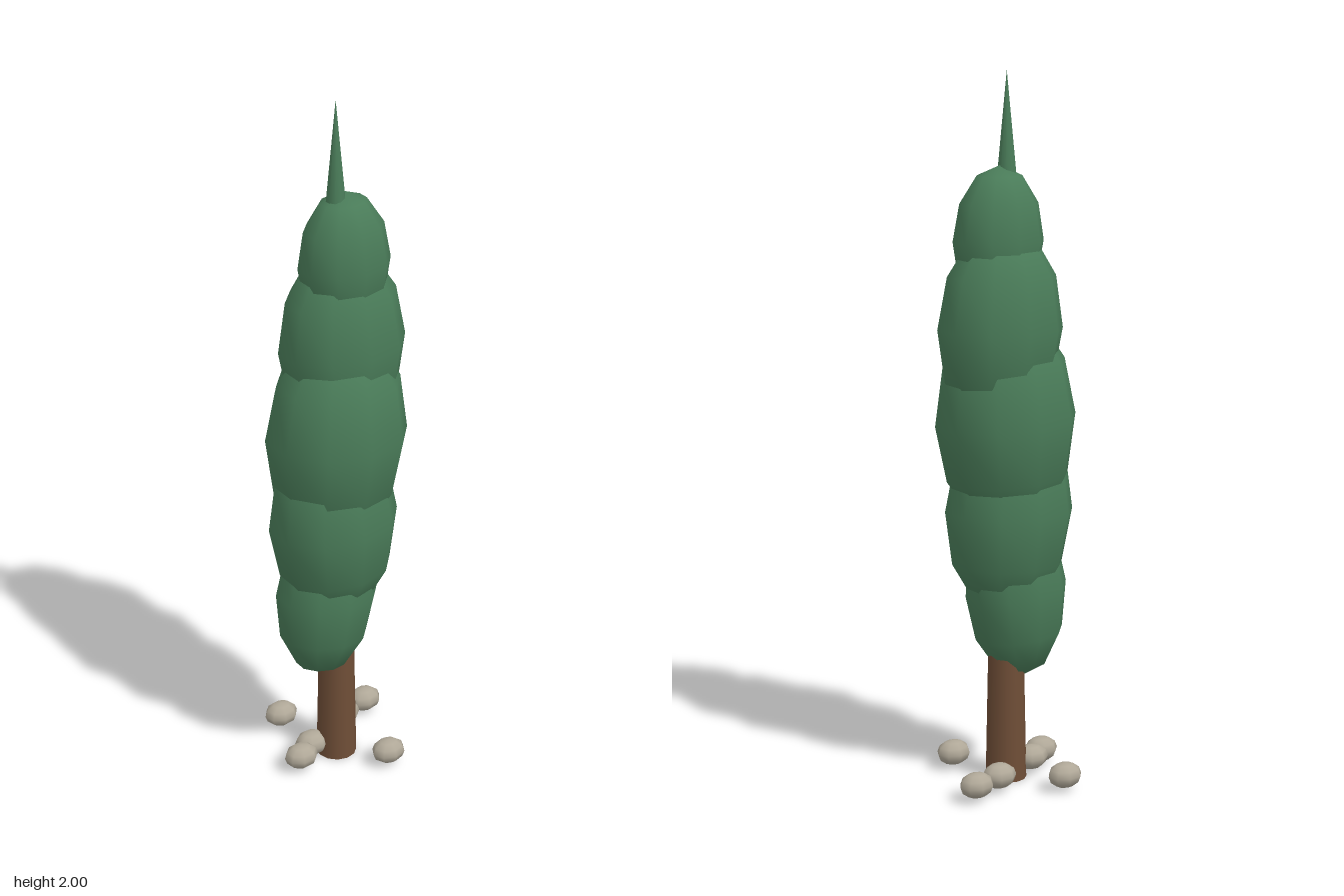
import * as THREE from 'three';

const leaf = new THREE.MeshStandardMaterial({ color: 0x4a7c59 });
leaf.name = 'leafGreen';
const bark = new THREE.MeshStandardMaterial({ color: 0x6f4e37 });
bark.name = 'barkBrown';
const stone = new THREE.MeshStandardMaterial({ color: 0xb0a898 });
stone.name = 'stoneGrey';

// Faceted ellipsoid with smooth normals: position, radii, lean about z
function ellipsoid(name, material, sides, rings, [x, y, z], [rx, ry, rz], turn, lean = 0) {
  const geometry = new THREE.SphereGeometry(1, sides, rings);
  geometry.rotateY(turn).scale(rx, ry, rz);
  const mesh = new THREE.Mesh(geometry, material);
  mesh.name = name;
  mesh.position.set(x, y, z);
  mesh.rotation.z = lean;
  return mesh;
}

export function createModel() {
  const tree = new THREE.Group();
  tree.name = 'cypressTree';

  // Trunk
  const trunk = new THREE.Mesh(new THREE.CylinderGeometry(0.046, 0.058, 0.6, 12), bark);
  trunk.name = 'trunk';
  trunk.position.set(-0.015, 0.3, 0.02);
  tree.add(trunk);

  // Stacked foliage masses, bottom to top
  const foliage = new THREE.Group();
  foliage.name = 'foliage';
  const masses = [
    [[-0.05, 0.55, 0.022], [0.152, 0.26, 0.125], -0.08],
    [[-0.03, 0.78, 0.027], [0.19, 0.3, 0.16], 0.04],
    [[-0.015, 1.04, 0.021], [0.207, 0.32, 0.178], -0.04],
    [[0.013, 1.3, 0.005], [0.185, 0.29, 0.147], 0.03],
    [[0.012, 1.54, 0.017], [0.133, 0.205, 0.108], 0.02],
  ];
  masses.forEach(([position, radii, lean], i) => {
    foliage.add(ellipsoid(`foliageMass${i + 1}`, leaf, 10, 6, position, radii, Math.PI / 10, lean));
  });

  // Pointed tip
  const tip = new THREE.Mesh(new THREE.ConeGeometry(0.029, 0.3, 10), leaf);
  tip.name = 'tip';
  tip.position.set(-0.016, 1.85, 0.018);
  foliage.add(tip);
  tree.add(foliage);

  // Pebbles around the base, as x and z
  const pebbles = new THREE.Group();
  pebbles.name = 'pebbles';
  const spots = [
    [0.07, 0.165], [0.163, -0.1], [-0.088, -0.168],
    [-0.156, 0.05], [0.068, -0.07], [-0.095, 0.01],
  ];
  spots.forEach(([x, z], i) => {
    pebbles.add(ellipsoid(`pebble${i + 1}`, stone, 8, 6, [x, 0.046, z], [0.051, 0.036, 0.042], i * 0.7));
  });
  tree.add(pebbles);

  return tree;
}
